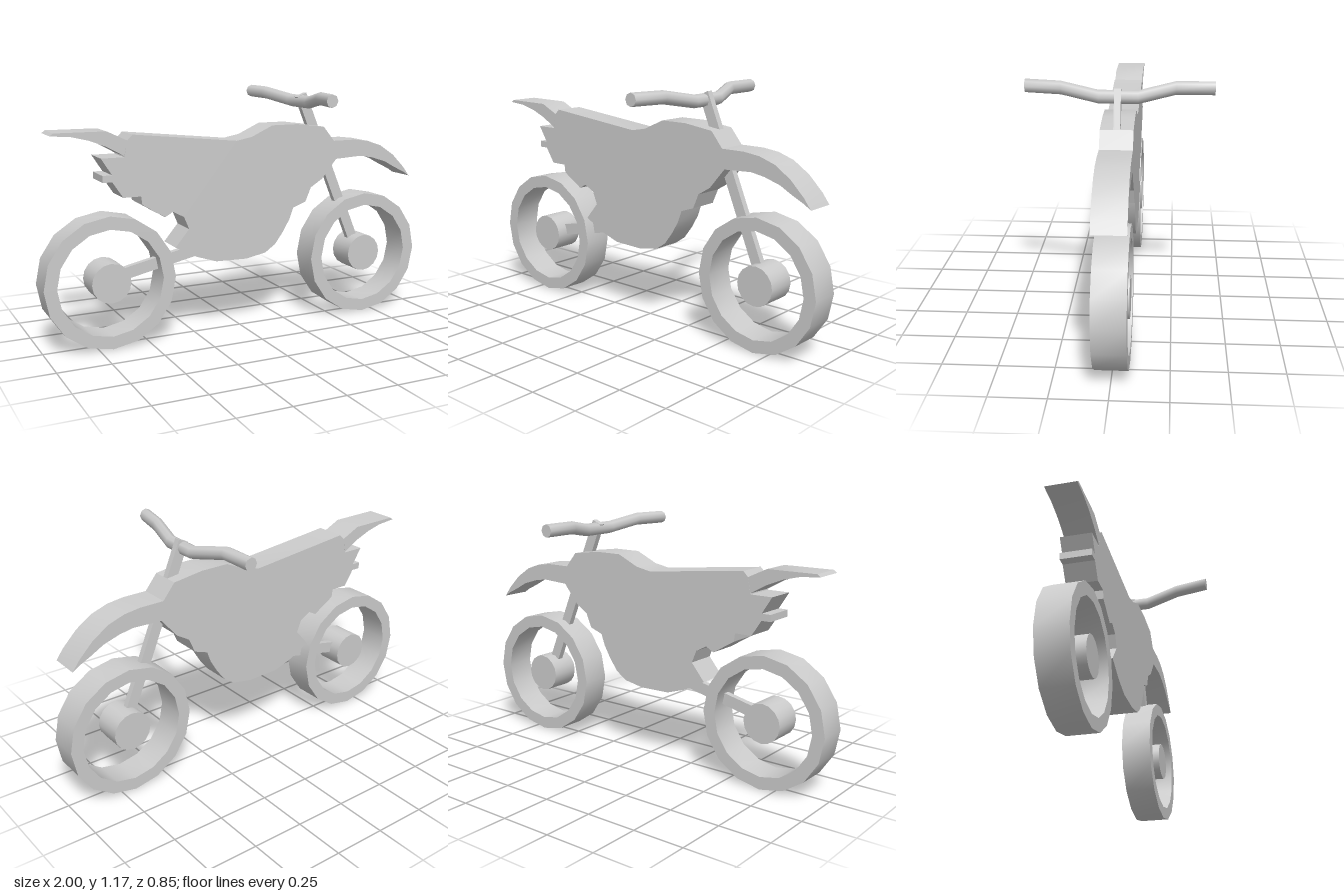
import * as THREE from 'three';
import { toCreasedNormals } from 'three/addons/utils/BufferGeometryUtils.js';

const WIDTH = 0.147; // shared thickness of body, fenders and wheels
const grey = new THREE.MeshStandardMaterial({ color: 0xcccccc });

function mesh(name, geometry) {
  const m = new THREE.Mesh(geometry, grey);
  m.name = name;
  return m;
}

const toPoints = (pairs) => pairs.map(([x, y]) => new THREE.Vector2(x, y));

const circle = (r, sides) => Array.from({ length: sides }, (_, i) => {
  const a = (i / sides) * Math.PI * 2;
  return new THREE.Vector2(r * Math.cos(a), r * Math.sin(a));
});

// Extrude an outline sideways, centred on z, keeping hard edges crisp
function slab(name, points, hole) {
  const shape = new THREE.Shape(points);
  if (hole) shape.holes.push(new THREE.Path(hole));
  const g = new THREE.ExtrudeGeometry(shape, { depth: WIDTH, bevelEnabled: false });
  g.translate(0, 0, -WIDTH / 2);
  return mesh(name, toCreasedNormals(g, 0.45));
}

// Rectangular bar between two points in the side plane
function strut(name, [x1, y1], [x2, y2], thickness, depth) {
  const m = mesh(name, new THREE.BoxGeometry(Math.hypot(x2 - x1, y2 - y1), thickness, depth));
  m.position.set((x1 + x2) / 2, (y1 + y2) / 2, 0);
  m.rotation.z = Math.atan2(y2 - y1, x2 - x1);
  return m;
}

function wheel(name, x) {
  const g = new THREE.Group();
  g.name = name;
  g.add(slab('tyre', circle(0.315, 16), circle(0.254, 16)), slab('hub', circle(0.094, 16)));
  g.position.set(x, 0.32, 0);
  return g;
}

// Bent bar: the rings of a straight cylinder are moved onto the path
function handlebar() {
  const path = [
    [0.262, 1.145, 0.42], [0.298, 1.145, 0.255], [0.337, 1.115, 0.085],
    [0.337, 1.115, -0.09], [0.278, 1.145, -0.255], [0.278, 1.145, -0.427],
  ];
  const n = path.length - 1;
  const g = new THREE.CylinderGeometry(0.031, 0.031, n, 8, n);
  const p = g.attributes.position;
  for (let i = 0; i < p.count; i++) {
    const [x, y, z] = path[Math.round(p.getY(i) + n / 2)];
    p.setXYZ(i, x + p.getZ(i), y + p.getX(i), z);
  }
  // the path runs from +z to -z, so reverse the winding if it points inwards
  const a = new THREE.Vector3(), b = new THREE.Vector3(), c = new THREE.Vector3();
  const idx = g.index.array;
  let volume = 0;
  for (let i = 0; i < idx.length; i += 3) {
    a.fromBufferAttribute(p, idx[i]);
    b.fromBufferAttribute(p, idx[i + 1]);
    c.fromBufferAttribute(p, idx[i + 2]);
    volume += a.dot(b.cross(c));
  }
  if (volume < 0) idx.reverse();
  return mesh('handlebar', toCreasedNormals(g, 0.9));
}

export function createModel() {
  const bike = new THREE.Group();
  bike.name = 'dirtBike';

  // Seat, tank, engine and side panels as one silhouette
  bike.add(slab('body', toPoints([
    [-0.57, 1.0], [-0.05, 0.945], [0.03, 0.96], [0.14, 1.01], [0.28, 1.01], [0.43, 0.99],
    [0.49, 0.917], [0.505, 0.825], [0.425, 0.73], [0.36, 0.69], [0.33, 0.62], [0.26, 0.595],
    [0.24, 0.54], [0.205, 0.48], [0.16, 0.42], [0.105, 0.382], [0, 0.363], [-0.16, 0.367],
    [-0.26, 0.4], [-0.37, 0.457], [-0.3, 0.54], [-0.325, 0.6], [-0.38, 0.63], [-0.42, 0.608],
    [-0.53, 0.675], [-0.535, 0.715], [-0.62, 0.715], [-0.67, 0.79], [-0.715, 0.79],
    [-0.715, 0.822], [-0.67, 0.822], [-0.72, 0.9], [-0.61, 0.9], [-0.595, 0.975],
  ])));

  // Fenders
  bike.add(slab('frontFender', toPoints([
    [0.49, 0.917], [0.61, 0.917], [0.69, 0.907], [0.77, 0.88], [0.85, 0.827], [0.92, 0.757],
    [0.955, 0.71], [0.925, 0.73], [0.86, 0.762], [0.8, 0.795], [0.72, 0.82], [0.65, 0.832],
    [0.505, 0.825],
  ])));
  bike.add(slab('rearFender', toPoints([
    [-0.595, 0.975], [-0.69, 1.02], [-0.93, 1.022], [-0.945, 1.01], [-0.85, 1.002],
    [-0.77, 0.982], [-0.69, 0.95], [-0.61, 0.905],
  ])));

  // Wheels and the bars that carry them
  bike.add(wheel('frontWheel', 0.683), wheel('rearWheel', -0.685));
  bike.add(strut('fork', [0.335, 1.147], [0.683, 0.32], 0.053, 0.03));
  bike.add(strut('swingarm', [-0.685, 0.325], [-0.16, 0.437], 0.056, 0.03));

  bike.add(handlebar());
  return bike;
}
